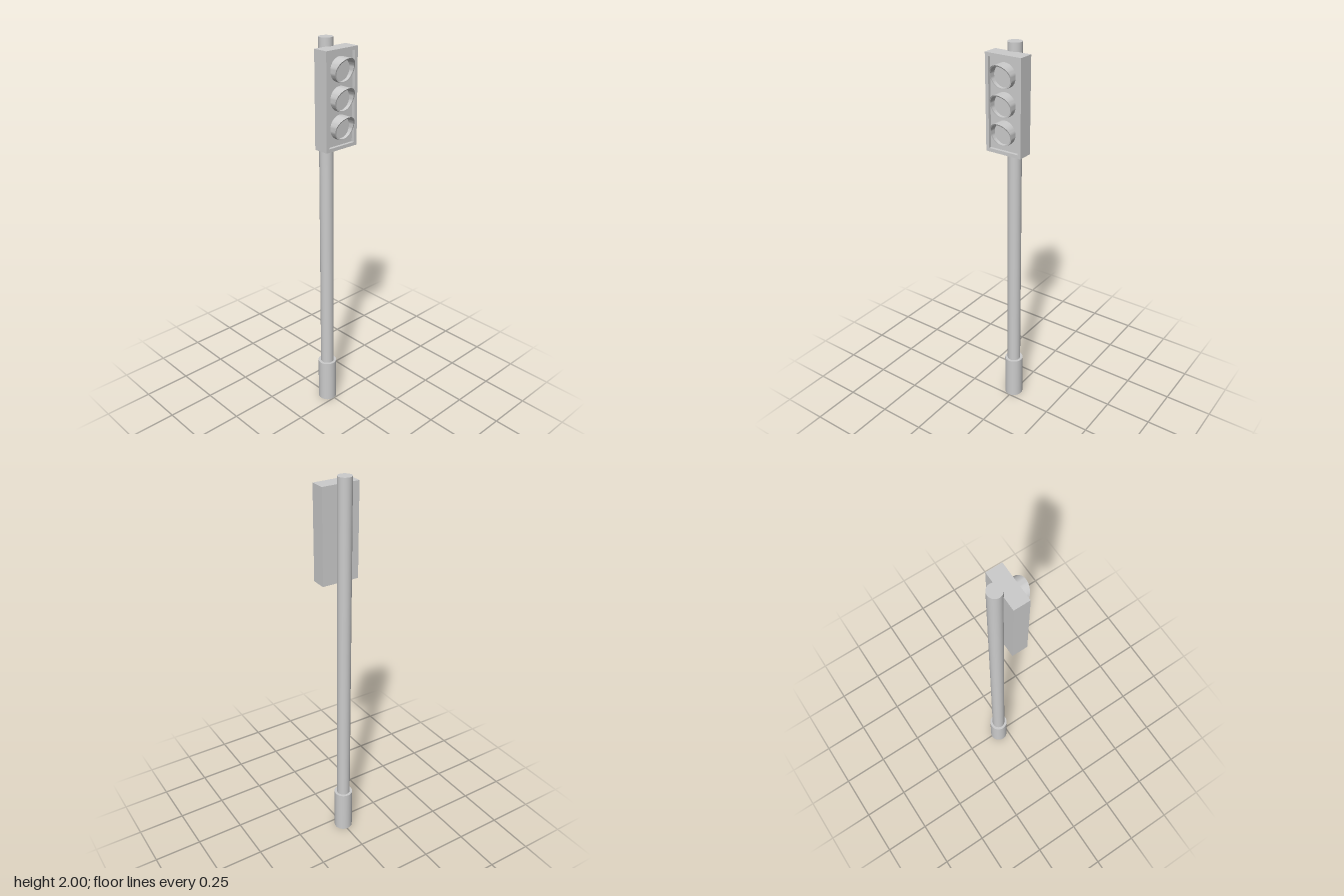
import * as THREE from 'three';
import { toCreasedNormals } from 'three/addons/utils/BufferGeometryUtils.js';

const POLE_X = -0.005, POLE_Z = -0.051;
const BACK = -0.027, FRONT = 0.052, PANEL = 0.036;   // housing depths along z
const HALF_W = 0.098, BOTTOM = 1.49, TOP = 1.96, RIM = 0.017;

export function createModel() {
  const group = new THREE.Group();
  const material = new THREE.MeshStandardMaterial({ color: 0xcccccc });
  const add = (name, geometry, x, y, z) => {
    const mesh = new THREE.Mesh(geometry, material);
    mesh.name = name;
    mesh.position.set(x, y, z);
    group.add(mesh);
    return mesh;
  };

  // Pole and its thicker foot
  add('poleBase', new THREE.CylinderGeometry(0.049, 0.049, 0.24, 40), POLE_X, 0.12, POLE_Z);
  add('pole', new THREE.CylinderGeometry(0.035, 0.035, 1.76, 40), POLE_X, 1.12, POLE_Z);

  // Housing: solid body with a raised rim around the recessed front panel
  const height = TOP - BOTTOM, midY = (TOP + BOTTOM) / 2;
  add('housing', new THREE.BoxGeometry(HALF_W * 2, height, PANEL - BACK), 0, midY, (PANEL + BACK) / 2);
  const rectangle = (path, w, h) => path.moveTo(-w, -h).lineTo(w, -h).lineTo(w, h).lineTo(-w, h).closePath();
  const rim = rectangle(new THREE.Shape(), HALF_W, height / 2);
  rim.holes.push(rectangle(new THREE.Path(), HALF_W - RIM, height / 2 - RIM));
  add('housingRim', new THREE.ExtrudeGeometry(rim, { depth: FRONT - PANEL, bevelEnabled: false }), 0, midY, PANEL);

  // Three lamps, each a flat lens inside a visor
  const lens = new THREE.CylinderGeometry(0.054, 0.054, 0.008, 40).rotateX(Math.PI / 2);
  const visor = visorGeometry(0.059, 0.053);
  for (const [name, y] of [['top', 1.865], ['middle', 1.73], ['bottom', 1.595]]) {
    add(name + 'Lens', lens, 0, y, PANEL + 0.004);
    add(name + 'Visor', visor, 0, y, PANEL);
  }
  return group;
}

// Thin tube whose front edge sweeps forward towards the top
function visorGeometry(outer, inner) {
  const profile = [[outer, 0], [outer, 1], [inner, 1], [inner, 0]].map(p => new THREE.Vector2(...p));
  const geometry = new THREE.LatheGeometry(profile, 48).rotateX(Math.PI / 2);
  const position = geometry.attributes.position;
  for (let i = 0; i < position.count; i++) {
    if (position.getZ(i) < 0.5) continue;
    const t = (position.getY(i) / outer + 1) / 2;
    position.setZ(i, 0.026 + 0.037 * t * t);
  }
  return toCreasedNormals(geometry, 0.6);
}
